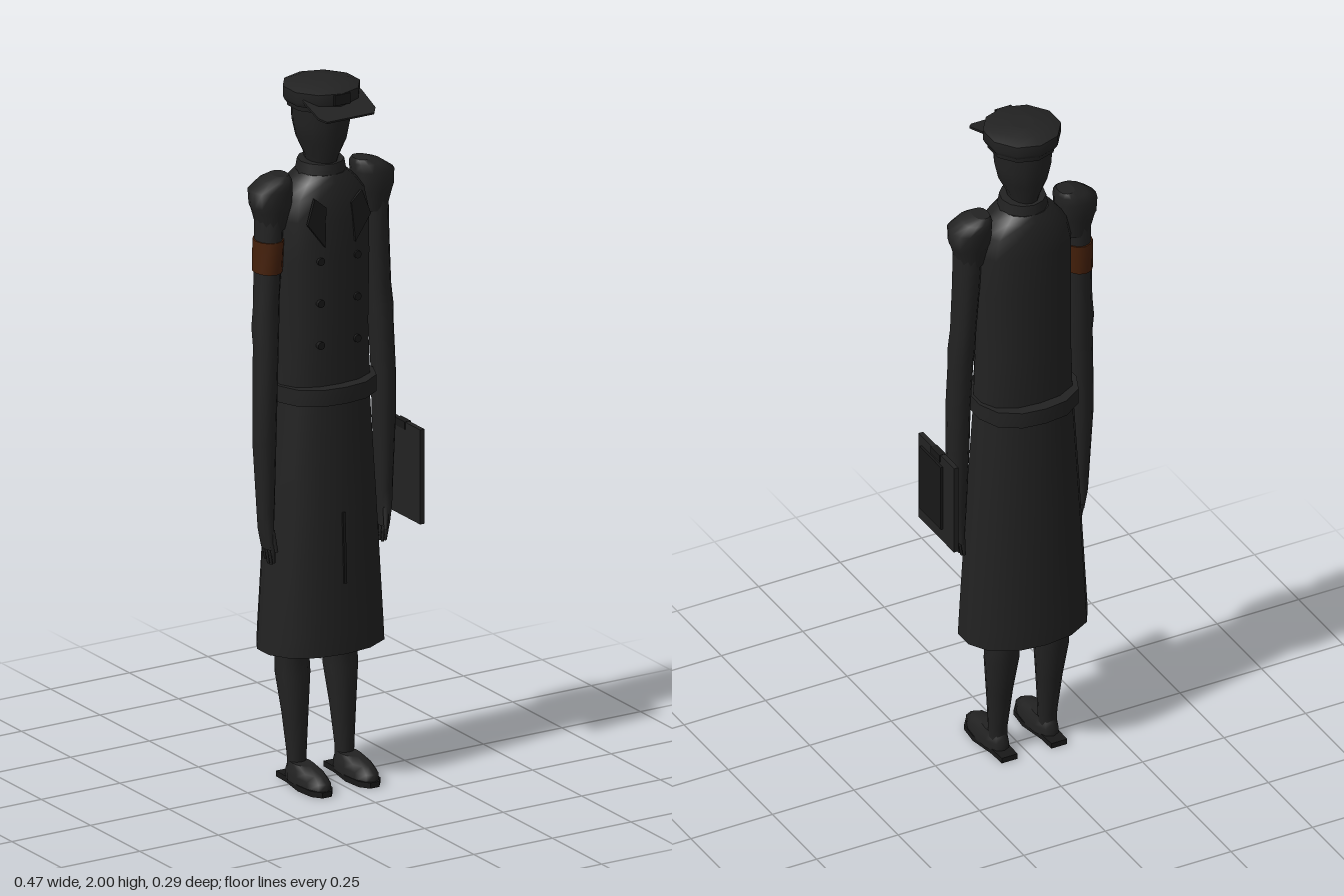
import * as THREE from 'three';

const mat = (name, color) => new THREE.MeshStandardMaterial({ name, color, side: THREE.DoubleSide });

// Surface through superellipse sections [y, x, z, rx, rz], listed from bottom to top
function loft(sections, sides = 12, power = 2, capBottom = true, capTop = true) {
  const pos = [], idx = [];
  const ring = ([y, cx, cz, rx, rz]) => {
    const start = pos.length / 3;
    for (let j = 0; j < sides; j++) {
      const a = (j / sides) * Math.PI * 2, s = Math.sin(a), c = Math.cos(a);
      const k = Math.pow(Math.abs(s) ** power + Math.abs(c) ** power, -1 / power);
      pos.push(cx + s * k * rx, y, cz + c * k * rz);
    }
    return start;
  };
  const starts = sections.map(ring);
  for (let i = 0; i < starts.length - 1; i++) {
    for (let j = 0; j < sides; j++) {
      const k = (j + 1) % sides, a = starts[i], b = starts[i + 1];
      idx.push(a + j, a + k, b + k, a + j, b + k, b + j);
    }
  }
  const cap = (section, up) => {
    const s = ring(section), c = pos.length / 3;
    pos.push(section[1], section[0], section[2]);
    for (let j = 0; j < sides; j++) {
      const k = (j + 1) % sides;
      idx.push(c, s + (up ? j : k), s + (up ? k : j));
    }
  };
  if (capBottom) cap(sections[0], false);
  if (capTop) cap(sections[sections.length - 1], true);
  const g = new THREE.BufferGeometry();
  g.setAttribute('position', new THREE.Float32BufferAttribute(pos, 3));
  g.setIndex(idx);
  g.computeVertexNormals();
  return g;
}

export function createModel() {
  const cloth = mat('charcoal', 0x222222);
  const dark = mat('black', 0x181818);
  const rust = mat('rust', 0x45200a);
  const root = new THREE.Group();
  root.name = 'uniformedFigure';
  const body = new THREE.Group();
  body.name = 'figure';
  body.position.x = -0.013;
  root.add(body);

  const add = (name, geometry, material = cloth, x = 0, y = 0, z = 0) => {
    const m = new THREE.Mesh(geometry, material);
    m.name = name;
    m.position.set(x, y, z);
    body.add(m);
    return m;
  };
  const box = (w, h, d) => new THREE.BoxGeometry(w, h, d);

  // Head
  add('head', loft([
    [1.75, 0, -0.008, 0.036, 0.05], [1.785, 0, -0.006, 0.043, 0.062], [1.83, 0, -0.006, 0.066, 0.076],
    [1.88, 0, -0.007, 0.078, 0.083], [1.95, 0, -0.007, 0.082, 0.085]], 14));

  // Cap: band, wider crown, top and peak
  add('capBand', loft([[1.928, 0, -0.005, 0.094, 0.094], [1.95, 0, -0.005, 0.098, 0.098]], 10));
  add('capCrown', loft([
    [1.942, 0, -0.004, 0.1, 0.1], [1.955, 0, -0.004, 0.107, 0.108], [1.984, 0, -0.004, 0.107, 0.108]], 10));
  add('capTop', loft([[1.984, 0, -0.004, 0.107, 0.108], [1.995, 0, -0.004, 0.075, 0.076], [2, 0, -0.004, 0.033, 0.033]], 10));
  const peak = new THREE.Shape([[-0.093, 0], [0.093, 0], [0.09, 0.085], [0.075, 0.105], [-0.075, 0.105], [-0.09, 0.085]]
    .map(p => new THREE.Vector2(...p)));
  add('capPeak', new THREE.ExtrudeGeometry(peak, { depth: 0.006, bevelEnabled: false }), cloth, 0, 1.966, 0.048)
    .rotation.x = Math.PI / 2 + 0.36;
  add('capBadge', box(0.05, 0.03, 0.006), dark, 0, 1.968, 0.102);

  // Coat
  add('collar', loft([[1.69, 0, -0.008, 0.078, 0.076], [1.77, 0, -0.008, 0.063, 0.066]], 12));
  add('coatBody', loft([
    [1.12, 0, -0.009, 0.142, 0.1], [1.3, 0, -0.01, 0.136, 0.098], [1.5, 0, -0.007, 0.138, 0.098],
    [1.62, 0, -0.007, 0.138, 0.097], [1.68, 0, -0.008, 0.125, 0.09], [1.72, 0, -0.008, 0.09, 0.079],
    [1.74, 0, -0.008, 0.066, 0.07]], 14, 2.4));
  add('coatSkirt', loft([
    [0.39, 0, -0.009, 0.186, 0.134], [0.45, 0, -0.009, 0.183, 0.132], [0.8, 0, -0.009, 0.163, 0.116],
    [1.12, 0, -0.009, 0.143, 0.101]], 14, 2.2, false, true));
  add('belt', loft([[1.105, 0, -0.009, 0.15, 0.133], [1.152, 0, -0.009, 0.15, 0.133]], 14, 2.4));
  add('skirtSlit', box(0.008, 0.2, 0.006), dark, 0, 0.69, 0.114).rotation.x = -0.045;

  // Left and right parts
  for (const s of [-1, 1]) {
    const side = s > 0 ? 'left' : 'right';

    const lapel = new THREE.Shape([[0.1, 1.62], [0.075, 1.69], [0.04, 1.66], [0.048, 1.55]]
      .map(([x, y]) => new THREE.Vector2(x * s, y - 1.62)));
    const lapelMesh = add(side + 'Lapel', new THREE.ExtrudeGeometry(lapel, { depth: 0.009, bevelEnabled: false }),
      dark, 0, 1.62, 0.08);
    lapelMesh.rotation.x = -0.08;

    for (const y of [1.27, 1.39, 1.51]) {
      add(side + 'Button', new THREE.CylinderGeometry(0.011, 0.011, 0.014, 10), dark, 0.058 * s, y, 0.084)
        .rotation.x = Math.PI / 2;
    }

    // Sleeve with elbow and wrist, ending in the palm
    add(side + 'Arm', loft([
      [0.695, 0.183 * s, 0.016, 0.012, 0.028], [0.75, 0.188 * s, 0.014, 0.019, 0.03],
      [0.8, 0.188 * s, 0.013, 0.023, 0.028], [1.0, 0.19 * s, 0.01, 0.032, 0.034],
      [1.14, 0.188 * s, 0.01, 0.033, 0.037], [1.27, 0.183 * s, 0.006, 0.034, 0.037],
      [1.32, 0.182 * s, 0.002, 0.036, 0.042], [1.38, 0.178 * s, 0, 0.034, 0.04],
      [1.52, 0.171 * s, -0.003, 0.036, 0.044], [1.66, 0.166 * s, -0.004, 0.038, 0.046]], 12));
    for (let i = 0; i < 4; i++) {
      add(side + 'Finger', loft([[0.645 + Math.abs(i - 1.5) * 0.008, 0.177 * s, -0.004 + i * 0.014, 0.004, 0.004],
        [0.71, 0.183 * s, -0.006 + i * 0.015, 0.008, 0.007]], 6));
    }
    add(side + 'Thumb', loft([[0.69, 0.174 * s, 0.046, 0.005, 0.005], [0.75, 0.182 * s, 0.034, 0.009, 0.008]], 6));

    // Padded shoulder with a sloping top
    add(side + 'ShoulderPad', loft([
      [1.6, 0.162 * s, -0.004, 0.034, 0.042], [1.655, 0.162 * s, -0.004, 0.05, 0.05],
      [1.668, 0.162 * s, -0.005, 0.056, 0.052], [1.712, 0.162 * s, -0.006, 0.058, 0.054],
      [1.735, 0.145 * s, -0.008, 0.042, 0.046], [1.747, 0.13 * s, -0.01, 0.022, 0.03]], 14, 2.6));

    // Stockinged leg
    add(side + 'Leg', loft([
      [0.03, 0.076 * s, -0.008, 0.026, 0.026], [0.08, 0.076 * s, -0.008, 0.027, 0.026],
      [0.2, 0.076 * s, -0.017, 0.037, 0.036], [0.31, 0.076 * s, -0.029, 0.049, 0.046],
      [0.37, 0.076 * s, -0.032, 0.046, 0.047], [0.6, 0.07 * s, -0.02, 0.056, 0.058]], 12));

    // Shoe: sole outline and rounded upper
    const sole = new THREE.Shape([[-0.024, 0.075], [0.024, 0.075], [0.026, 0.02], [0.04, -0.06], [0.034, -0.12],
      [0.014, -0.147], [-0.014, -0.147], [-0.034, -0.12], [-0.04, -0.06], [-0.026, 0.02]]
      .map(p => new THREE.Vector2(...p)));
    add(side + 'Sole', new THREE.ExtrudeGeometry(sole, { depth: 0.016, bevelEnabled: false }), dark, 0.076 * s, 0, 0)
      .rotation.x = -Math.PI / 2;
    add(side + 'Shoe', loft([
      [0.012, 0.076 * s, 0.05, 0.038, 0.095], [0.035, 0.076 * s, 0.05, 0.038, 0.094],
      [0.052, 0.076 * s, 0.04, 0.032, 0.078], [0.064, 0.076 * s, 0.015, 0.027, 0.045]], 12, 2.3));
  }

  // Armband on the right sleeve
  add('armband', loft([[1.48, -0.173, -0.002, 0.039, 0.047], [1.57, -0.169, -0.004, 0.041, 0.048]], 12), rust);

  // Flat case carried on the left side
  add('caseBody', box(0.014, 0.27, 0.2), cloth, 0.235, 0.855, 0.034);
  add('caseCover', box(0.008, 0.2, 0.12), dark, 0.245, 0.86, 0.056);
  add('caseClip', box(0.02, 0.022, 0.05), dark, 0.236, 0.98, 0.034);

  return root;
}
